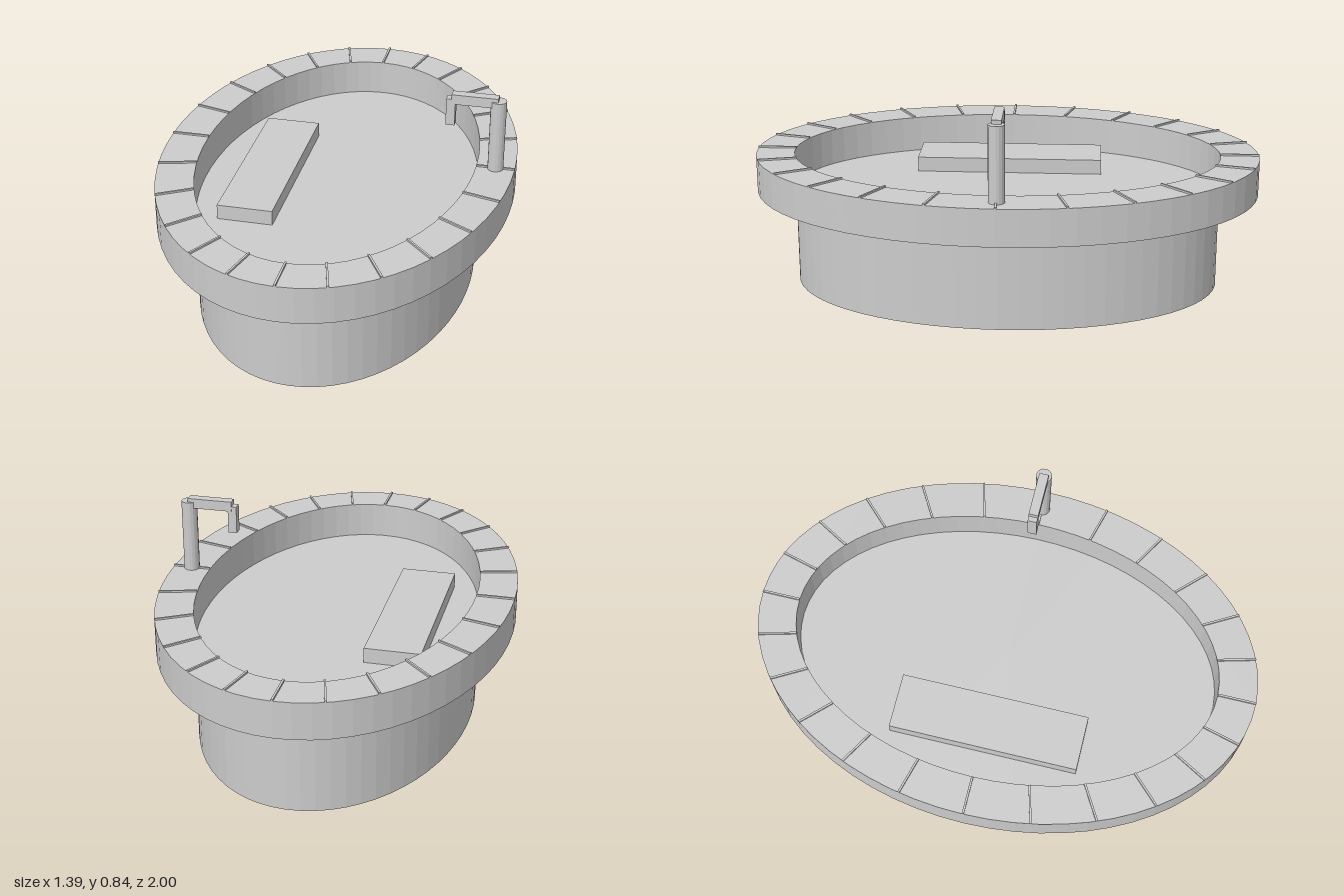
import * as THREE from 'three';

const FLOOR_Y = 0.387, RIM_Y = 0.533;
const INNER = { x: 0.545, z: 0.848 };
const OUTER = { x: 0.696, z: 1.0 };

export function createModel() {
  const group = new THREE.Group();
  const grey = new THREE.MeshStandardMaterial({ color: 0xcccccc, flatShading: true });
  grey.name = 'plain grey';

  const add = (name, geometry, x = 0, y = 0, z = 0, parent = group) => {
    const mesh = new THREE.Mesh(geometry, grey);
    mesh.name = name;
    mesh.position.set(x, y, z);
    parent.add(mesh);
    return mesh;
  };
  // Box given by its extents in x and y, centred on z
  const addBox = (name, x0, x1, y0, y1, depth, parent) =>
    add(name, new THREE.BoxGeometry(x1 - x0, y1 - y0, depth), (x0 + x1) / 2, (y0 + y1) / 2, 0, parent);

  // Oval tub body, its top is the basin floor
  const body = new THREE.CylinderGeometry(1, 1, FLOOR_Y, 64);
  body.scale(INNER.x, 1, INNER.z);
  add('tubBody', body, 0, FLOOR_Y / 2);

  // Wide oval rim with an open middle
  const oval = new THREE.Shape();
  oval.absellipse(0, 0, OUTER.x, OUTER.z, 0, Math.PI * 2, false);
  const hole = new THREE.Path();
  hole.absellipse(0, 0, INNER.x, INNER.z, 0, Math.PI * 2, true);
  oval.holes.push(hole);
  const rim = new THREE.ExtrudeGeometry(oval, { depth: RIM_Y - FLOOR_Y, bevelEnabled: false, curveSegments: 32 });
  rim.rotateX(-Math.PI / 2);
  add('rim', rim, 0, FLOOR_Y);

  // Thin raised joints running across the rim
  const joints = new THREE.Group();
  joints.name = 'rimJoints';
  group.add(joints);
  for (let i = 0; i < 24; i++) {
    const a = (i / 24) * Math.PI * 2, c = Math.cos(a), s = Math.sin(a);
    const dx = (OUTER.x - INNER.x) * c, dz = (OUTER.z - INNER.z) * s;
    const joint = add('rimJoint', new THREE.BoxGeometry(Math.hypot(dx, dz), 0.007, 0.008),
      INNER.x * c + dx / 2, RIM_Y + 0.0035, INNER.z * s + dz / 2, joints);
    joint.rotation.y = -Math.atan2(dz, dx);
  }

  // Low bench on the basin floor
  addBox('bench', -0.4, -0.18, FLOOR_Y, 0.447, 0.755);

  // Tap: round post, arm and downward spout
  const tap = new THREE.Group();
  tap.name = 'tap';
  group.add(tap);
  add('tapPost', new THREE.CylinderGeometry(0.031, 0.031, 0.825 - RIM_Y, 16), 0.62, (0.825 + RIM_Y) / 2, 0, tap);
  addBox('tapArm', 0.44, 0.62, 0.8, 0.84, 0.038, tap);
  addBox('tapSpout', 0.42, 0.455, 0.71, 0.82, 0.036, tap);

  return group;
}
